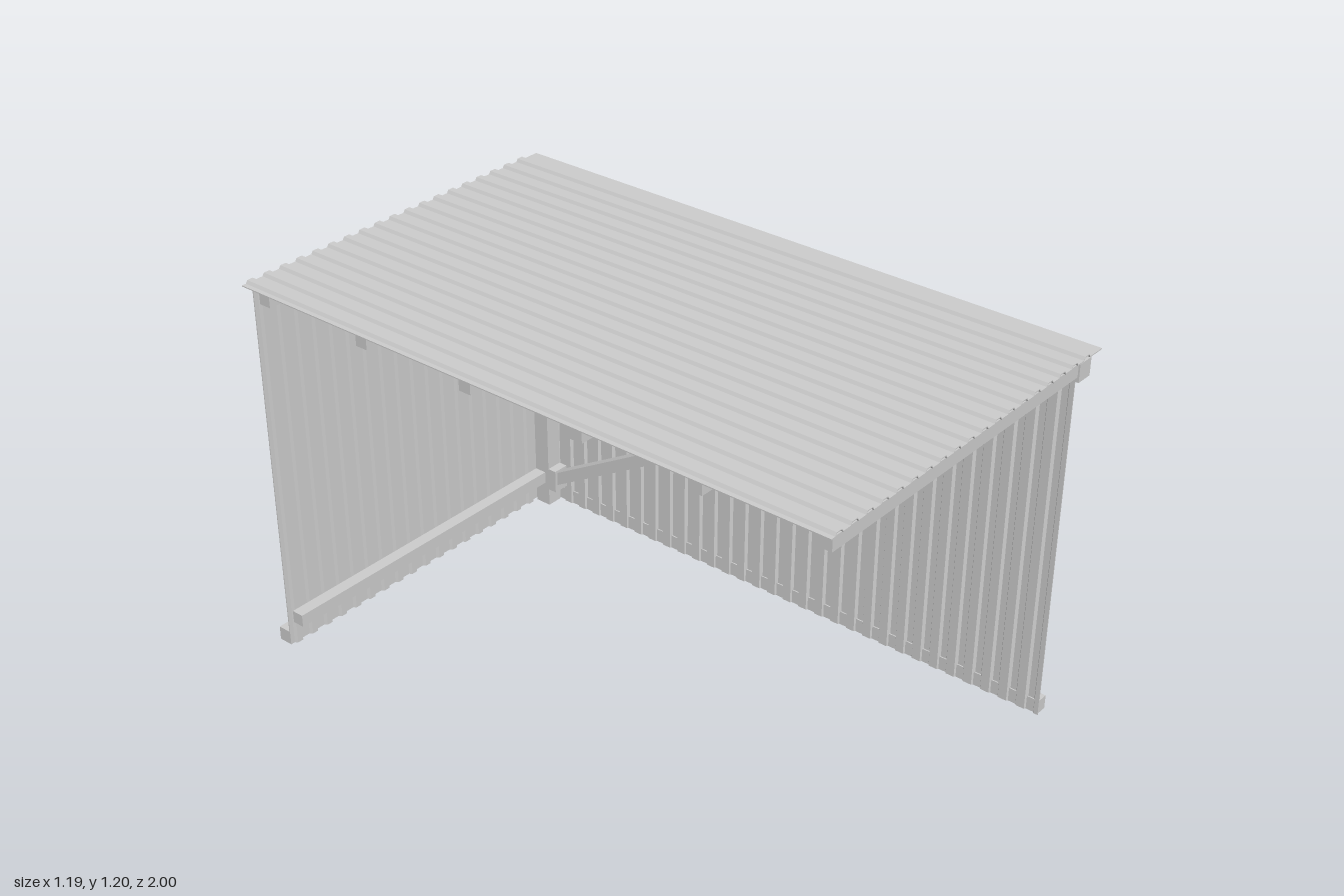
import * as THREE from 'three';

const grey = new THREE.MeshStandardMaterial({ color: 0xcccccc, side: THREE.DoubleSide });
const PITCH = 0.0605, RISE = 0.012, THICK = 0.003;

// Trapezoid-ribbed sheet: ribs rise in +y, sheet spans x0..x1 and is extruded along +z
function ribbedSheet(x0, x1, length) {
  const lower = [[x0, 0]];
  for (let c = x0 + PITCH / 2; c + 0.016 < x1; c += PITCH) {
    lower.push([c - 0.016, 0], [c - 0.010, RISE - THICK], [c + 0.010, RISE - THICK], [c + 0.016, 0]);
  }
  lower.push([x1, 0]);
  const upper = lower.map(([x, y]) => [x, y + THICK]).reverse();
  const shape = new THREE.Shape([...lower, ...upper].map(([x, y]) => new THREE.Vector2(x, y)));
  return new THREE.ExtrudeGeometry(shape, { depth: length, bevelEnabled: false });
}

export function createModel() {
  const model = new THREE.Group();
  model.name = 'cornerShelter';

  const add = (name, geometry) => {
    const mesh = new THREE.Mesh(geometry, grey);
    mesh.name = name;
    model.add(mesh);
    return mesh;
  };
  // Box given by its limits on each axis
  const box = (name, [x0, x1], [y0, y1], [z0, z1]) =>
    add(name, new THREE.BoxGeometry(x1 - x0, y1 - y0, z1 - z0)
      .translate((x0 + x1) / 2, (y0 + y1) / 2, (z0 + z1) / 2));

  // Corrugated roof, ribs running front to back
  add('roof', ribbedSheet(-0.597, 0.597, 2).translate(0, 1.186, -1));

  // Corrugated walls, ribs running upright
  const wallHeight = 1.187;
  add('backWall', ribbedSheet(-0.597, 0.555, wallHeight)
    .rotateX(Math.PI / 2).translate(0, wallHeight, -0.957));
  add('sideWall', ribbedSheet(-0.96, 0.957, wallHeight)
    .rotateX(Math.PI / 2).rotateY(Math.PI / 2).translate(0.545, wallHeight, 0));

  // Kerbs along the outside foot of the walls
  box('sideKerb', [0.55, 0.587], [0, 0.045], [-1, 0.957]);
  box('backKerb', [-0.597, 0.55], [0, 0.045], [-1, -0.957]);

  // Roof beams, evenly spaced from front to back
  for (let i = 0; i < 6; i++) {
    const z = 0.975 - i * 0.38;
    box('roofBeam', [-0.585, 0.495], [1.145, 1.185], [z - 0.02, z + 0.02]);
  }

  // Frame along the inside of the walls
  box('backRail', [-0.585, 0.495], [0.08, 0.12], [-0.945, -0.905]);
  box('topRail', [0.49, 0.545], [1.13, 1.185], [-0.945, 1]);
  box('cornerPost', [0.49, 0.545], [0, 1.185], [-0.945, -0.89]);
  box('braceFoot', [0.49, 0.545], [0.06, 0.138], [-0.89, -0.86]);

  // Diagonal brace from the back foot up to the front of the top rail
  const rise = 1.055, run = 1.83;
  const brace = add('diagonalBrace', new THREE.BoxGeometry(0.04, 0.04, Math.hypot(rise, run)));
  brace.rotation.x = -Math.atan2(rise, run);
  brace.position.set(0.52, 0.62, 0.03);

  return model;
}
